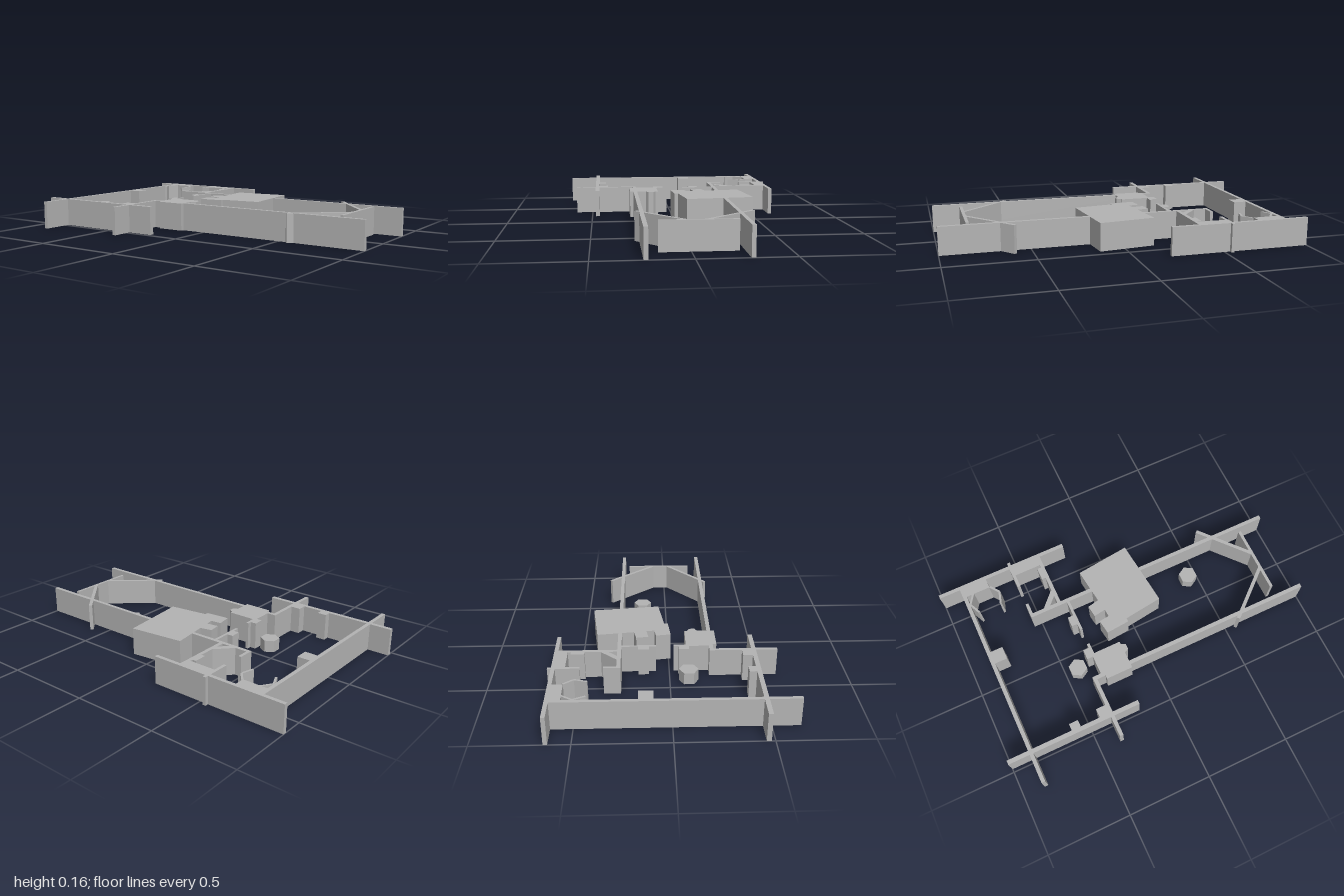
import * as THREE from 'three';

const H = 0.16;

export function createModel() {
  const model = new THREE.Group();
  const grey = new THREE.MeshStandardMaterial({ color: 0xb3b3b3 });
  grey.name = 'stone grey';
  grey.flatShading = true;

  const add = (name, geometry) => {
    const mesh = new THREE.Mesh(geometry, grey);
    mesh.name = name;
    model.add(mesh);
    return mesh;
  };

  // Upright block given by its plan limits
  const block = (name, x0, x1, z0, z1, h = H) =>
    add(name, new THREE.BoxGeometry(x1 - x0, h, z1 - z0))
      .position.set((x0 + x1) / 2, h / 2, (z0 + z1) / 2);

  // Thin panel between two plan points
  const panel = (name, ax, az, bx, bz, t) => {
    const dx = bx - ax, dz = bz - az;
    const mesh = add(name, new THREE.BoxGeometry(Math.hypot(dx, dz), H, t));
    mesh.position.set((ax + bx) / 2, H / 2, (az + bz) / 2);
    mesh.rotation.y = -Math.atan2(dz, dx);
  };

  // Six-sided prism with corners toward front and back
  const hexagon = (name, x, z, r, h) =>
    add(name, new THREE.CylinderGeometry(r, r, h, 6)).position.set(x, h / 2, z);

  // Plan outline raised to full height
  const prism = (name, points) => {
    const shape = new THREE.Shape(points.map(([x, z]) => new THREE.Vector2(x, -z)));
    const geometry = new THREE.ExtrudeGeometry(shape, { depth: H, bevelEnabled: false });
    add(name, geometry.rotateX(-Math.PI / 2));
  };

  // Main walls
  block('backWall', -1, -0.195, -0.637, -0.615);
  block('sideWall', -0.872, -0.85, -0.625, 0.65);
  block('frontWall', -1, -0.195, 0.455, 0.48);
  block('longBackWall', -0.55, 1, -0.29, -0.268);
  block('longFrontWall', -0.374, 1, 0.222, 0.245);
  block('frontCrossWall', -0.374, -0.352, 0.222, 0.6);
  block('backCrossWall', -0.374, -0.352, -0.637, -0.27);

  // Short partitions
  block('closetWallBack', -0.55, -0.532, -0.657, -0.485);
  block('closetWallFront', -0.55, -0.532, -0.36, -0.27);
  block('doorJambBack', -0.32, -0.304, -0.28, -0.075);
  block('doorJambFront', -0.32, -0.304, 0.025, 0.11);
  panel('cornerBrace', -0.45, -0.28, -0.365, -0.37, 0.03);

  // Built-in blocks along the walls
  block('cornerCounter', -0.872, -0.705, -0.62, -0.557);
  block('closetCounter', -0.54, -0.36, -0.62, -0.562);
  block('closetLedge', -0.397, -0.37, -0.545, -0.47);
  block('jambBlockBack', -0.355, -0.318, -0.175, -0.115);
  block('jambBlockFront', -0.355, -0.318, 0.05, 0.11);
  block('sideWallBlock', -0.855, -0.775, -0.172, -0.095);
  block('frontWallBlock', -0.605, -0.55, 0.415, 0.458);
  block('frontCornerBlock', -0.432, -0.37, 0.402, 0.458);

  // Square block set into the long wall
  block('cabinet', -0.32, -0.14, 0.093, 0.235);
  block('cabinetFront', -0.3, -0.14, 0.23, 0.266);
  hexagon('cabinetKnob', -0.14, 0.138, 0.03, H);

  // Bent screens beside the corner counter
  const screens = [
    [[-0.808, -0.56], [-0.848, -0.5], [-0.818, -0.435]],
    [[-0.702, -0.56], [-0.66, -0.505], [-0.68, -0.435]],
  ];
  for (const [a, b, c] of screens) {
    panel('screenInner', ...a, ...b, 0.012);
    panel('screenOuter', ...b, ...c, 0.012);
  }

  // Large turned block with notched side
  prism('centralBlock', [
    [-0.174, -0.41], [0.147, -0.447], [0.19, -0.052], [-0.04, -0.022],
    [-0.04, 0], [-0.18, 0.012], [-0.193, -0.073], [-0.131, -0.081],
    [-0.136, -0.127], [-0.206, -0.116], [-0.216, -0.186], [-0.147, -0.2],
  ]);

  // Angled end screens
  block('endScreen', 0.828, 0.846, -0.24, 0.165);
  panel('endScreenBack', 0.595, -0.357, 0.835, -0.08, 0.02);
  panel('endScreenFront', 0.56, 0.262, 0.835, 0.025, 0.02);

  // Low six-sided tables
  hexagon('lowTableLeft', 0.438, -0.15, 0.055, 0.07);
  hexagon('lowTableRight', -0.42, 0.105, 0.055, 0.07);

  return model;
}
